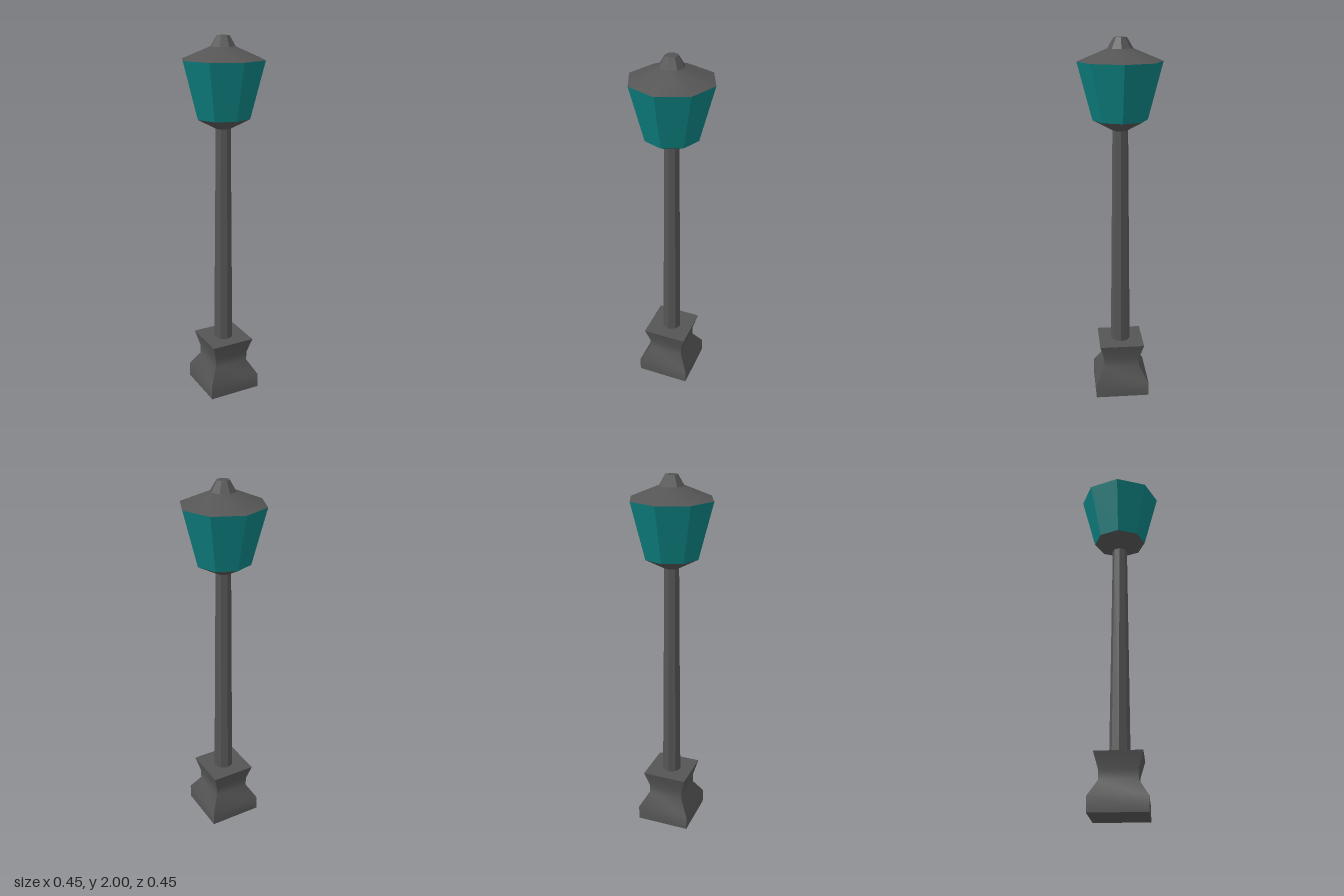
import * as THREE from 'three';
import { toCreasedNormals } from 'three/addons/utils/BufferGeometryUtils.js';

const iron = new THREE.MeshStandardMaterial({ color: 0x555555 });
const teal = new THREE.MeshStandardMaterial({ color: 0x0e8080 });

// Faceted part turned from [radius, height] pairs, listed bottom to top
function turned(name, profile, sides, material, phiStart = 0) {
  const points = profile.map(([r, y]) => new THREE.Vector2(r, y));
  const lathe = new THREE.LatheGeometry(points, sides, phiStart);
  const mesh = new THREE.Mesh(toCreasedNormals(lathe, THREE.MathUtils.degToRad(35)), material);
  mesh.name = name;
  return mesh;
}

export function createModel() {
  const group = new THREE.Group();
  group.name = 'streetLamp';

  // Square pedestal: half-widths scaled out to the corner radius
  const pedestal = [[0, 0], [0.15, 0], [0.15, 0.08], [0.1, 0.165], [0.1, 0.215], [0.125, 0.305], [0, 0.305]]
    .map(([half, y]) => [half * Math.SQRT2, y]);
  group.add(turned('pedestal', pedestal, 4, iron, Math.PI / 4));

  // Tapered octagonal post
  group.add(turned('post', [[0.055, 0.305], [0.042, 1.525]], 8, iron));

  // Lantern: flared cup, glass panes, roof and finial
  group.add(turned('lanternCup', [[0.042, 1.525], [0.147, 1.58]], 8, iron));
  group.add(turned('lanternGlass', [[0.147, 1.58], [0.225, 1.88]], 8, teal));
  group.add(turned('lanternRoof', [[0.225, 1.88], [0.067, 1.945]], 8, iron));
  group.add(turned('finial', [[0.067, 1.945], [0.034, 2], [0, 2]], 8, iron));

  return group;
}
